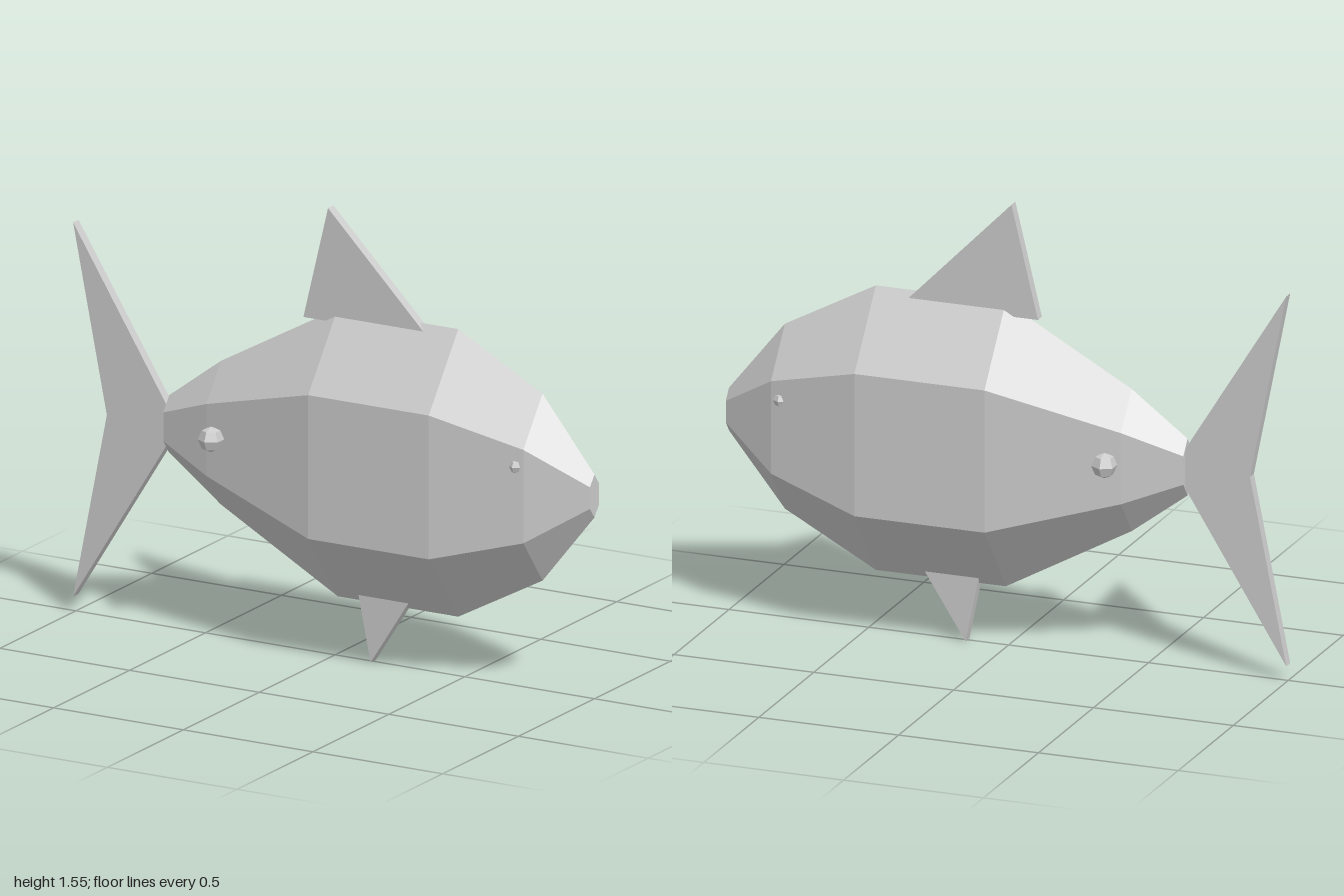
import * as THREE from 'three';

const material = new THREE.MeshStandardMaterial({ color: 0xcccccc, flatShading: true });
const AXIS_Y = 0.705; // height of the body's centre line
const FIN_THICKNESS = 0.036;

function addPart(group, name, geometry) {
  const mesh = new THREE.Mesh(geometry, material);
  mesh.name = name;
  group.add(mesh);
  return mesh;
}

// Flat slab fin from an outline in the xy plane
function finGeometry(outline) {
  const shape = new THREE.Shape(outline.map(([x, y]) => new THREE.Vector2(x, y)));
  const geometry = new THREE.ExtrudeGeometry(shape, { depth: FIN_THICKNESS, bevelEnabled: false });
  return geometry.translate(0, 0, -FIN_THICKNESS / 2);
}

// Low-poly ball with one corner pointing sideways out of the body
function ballGeometry(radius) {
  return new THREE.SphereGeometry(radius, 6, 4).rotateY(Math.PI / 2);
}

export function createModel() {
  const fish = new THREE.Group();
  fish.name = 'fish';

  // Body: six-sided rings along x [radius, x], flattened sideways, closed at both ends
  const rings = [
    [0, -0.64], [0.1, -0.64], [0.25, -0.44], [0.5, 0.01],
    [0.5, 0.475], [0.325, 0.8], [0.075, 1], [0, 1],
  ];
  const bodyGeometry = new THREE.LatheGeometry(rings.map(([r, x]) => new THREE.Vector2(r, x)), 6)
    .rotateX(-Math.PI / 2)
    .rotateY(-Math.PI / 2)
    .scale(1, 1, 0.45);
  addPart(fish, 'body', bodyGeometry).position.y = AXIS_Y;

  // Fins
  addPart(fish, 'tailFin', finGeometry([
    [-1, 1.355], [-0.87, AXIS_Y], [-1, 0.055], [-0.6, AXIS_Y],
  ].flatMap((p, i) => (i === 3 ? [[-0.63, 0.65], [-0.63, 0.76]] : [p]))));
  addPart(fish, 'dorsalFin', finGeometry([[-0.112, 1.162], [0.37, 1.162], [-0.017, 1.555]]));
  addPart(fish, 'bellyFin', finGeometry([[0.095, 0.255], [0.147, 0], [0.31, 0.255]]));

  // Eyes and the balls beside the tail, mirrored to both sides
  for (const [side, sign] of [['left', 1], ['right', -1]]) {
    addPart(fish, `${side}Eye`, ballGeometry(0.025)).position.set(0.768, 0.805, sign * 0.122);
    addPart(fish, `${side}TailBall`, ballGeometry(0.044)).position.set(-0.397, 0.725, sign * 0.14);
  }

  return fish;
}
